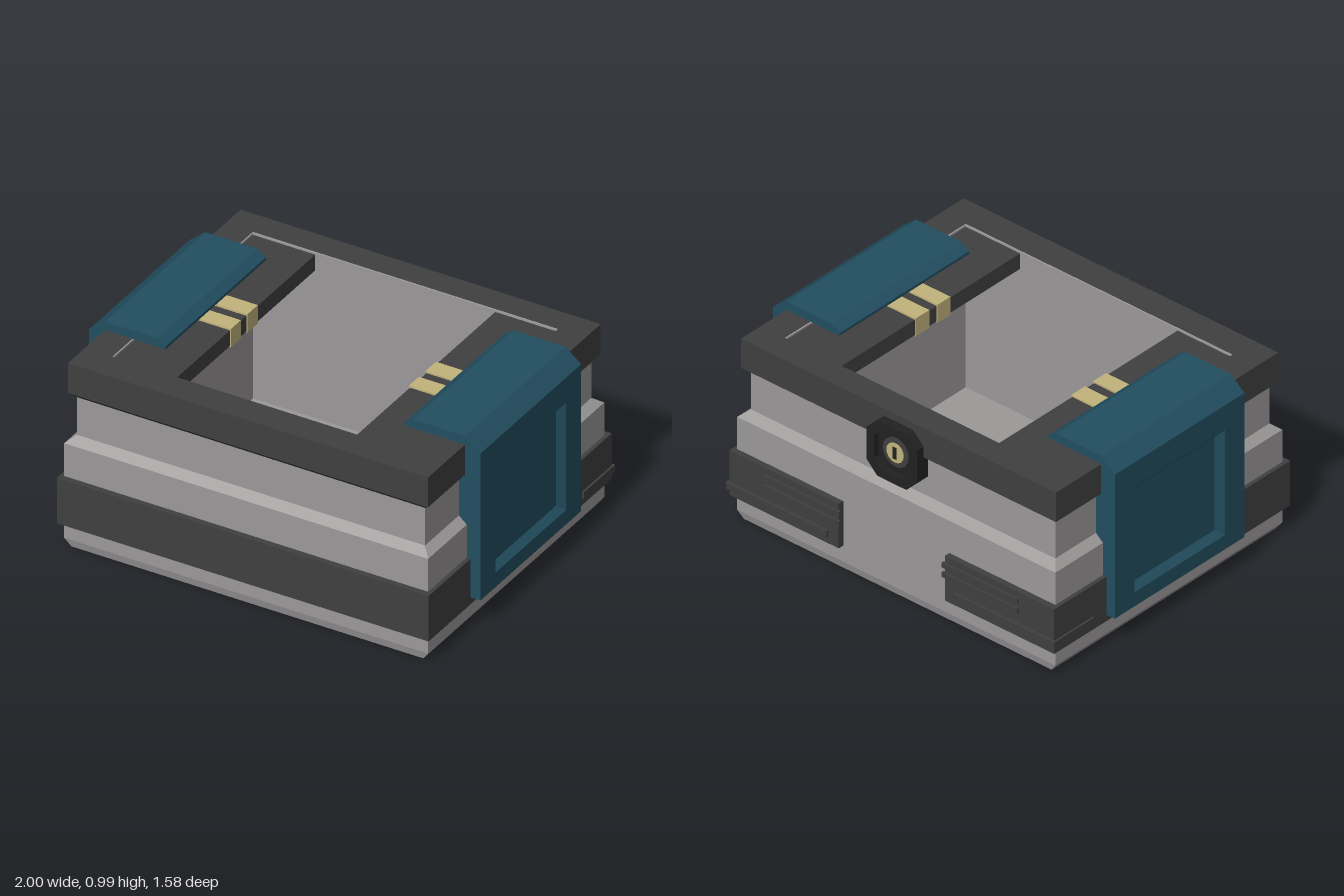
import * as THREE from 'three';

const mat = (name, color) => Object.assign(new THREE.MeshStandardMaterial({ color }), { name });

// Rings [u0, u1, v0, v1, w] are rectangles stacked along y; both ends are capped on request.
function loft(rings, capStart, capEnd) {
  const pos = [];
  const corners = ([u0, u1, v0, v1, w]) => [[u0, w, v1], [u1, w, v1], [u1, w, v0], [u0, w, v0]];
  const quad = (a, b, c, d) => pos.push(...a, ...b, ...c, ...a, ...c, ...d);
  const c = rings.map(corners);
  for (let i = 0; i < c.length - 1; i++) {
    for (let j = 0; j < 4; j++) {
      const k = (j + 1) % 4;
      quad(c[i][j], c[i][k], c[i + 1][k], c[i + 1][j]);
    }
  }
  if (capStart) quad(...c[0].slice().reverse());
  if (capEnd) quad(...c[c.length - 1]);
  const g = new THREE.BufferGeometry();
  g.setAttribute('position', new THREE.Float32BufferAttribute(pos, 3));
  g.computeVertexNormals();
  return g;
}

const shapeOf = (pts) => new THREE.Shape(pts.map(([x, y]) => new THREE.Vector2(x, y)));
const extrude = (shape, depth) => new THREE.ExtrudeGeometry(shape, { depth, bevelEnabled: false });

export function createModel() {
  const model = new THREE.Group();
  model.name = 'storageCrate';
  const grey = mat('bodyGrey', 0x9c9999);
  const dark = mat('trimDark', 0x404040);
  const blue = mat('strapBlue', 0x224e60);
  const tan = mat('clipTan', 0xc3b47d);
  const black = mat('lockBlack', 0x222222);

  const add = (name, geometry, material, parent = model) => {
    const m = new THREE.Mesh(geometry, material);
    m.name = name;
    parent.add(m);
    return m;
  };
  const box = (name, x0, x1, y0, y1, z0, z1, material) => {
    const m = add(name, new THREE.BoxGeometry(Math.abs(x1 - x0), y1 - y0, z1 - z0), material);
    m.position.set((x0 + x1) / 2, (y0 + y1) / 2, (z0 + z1) / 2);
    return m;
  };

  // Stepped body with an open cavity
  add('body', loft([
    [-0.90, 0.90, -0.735, 0.75, 0],
    [-0.93, 0.93, -0.745, 0.76, 0.04],
    [-0.93, 0.93, -0.745, 0.76, 0.53],
    [-0.89, 0.89, -0.70, 0.72, 0.565],
    [-0.89, 0.89, -0.70, 0.72, 0.935],
    [-0.778, 0.778, -0.598, 0.598, 0.935],
    [-0.778, 0.778, -0.598, 0.598, 0.08],
  ], true, true), grey);

  // Dark rim around the opening
  add('rim', loft([
    [-0.88, 0.88, -0.69, 0.71, 0.76],
    [-0.89, 0.89, -0.70, 0.72, 0.76],
    [-0.92, 0.92, -0.73, 0.745, 0.785],
    [-0.92, 0.92, -0.73, 0.745, 0.94],
    [-0.78, 0.78, -0.60, 0.60, 0.94],
  ], false, false), dark);

  // Lower band, open in the middle of the back
  const band = extrude(shapeOf([
    [-0.95, -0.79], [0.95, -0.79], [0.95, 0.775], [0.31, 0.775], [0.31, 0.72], [0.9, 0.72],
    [0.9, -0.74], [-0.9, -0.74], [-0.9, 0.72], [-0.31, 0.72], [-0.31, 0.775], [-0.95, 0.775],
  ]), 0.235);
  band.rotateX(-Math.PI / 2).translate(0, 0.125, 0);
  add('lowerBand', band, dark);

  // Strap profile (x, y) hugging the body
  const strapProfile = shapeOf([
    [0.94, 0.16], [0.965, 0.16], [0.965, 0.92], [1, 0.92], [0.92, 0.985], [0.655, 0.985],
    [0.61, 0.955], [0.61, 0.941], [0.91, 0.941], [0.88, 0.76], [0.88, 0.56], [0.92, 0.525],
    [0.92, 0.36], [0.94, 0.35],
  ]);

  for (const s of [1, -1]) {
    const side = s > 0 ? 'left' : 'right';

    // Side strap with a recessed panel
    const strap = new THREE.Group();
    strap.name = side + 'Strap';
    add('strapBracket', extrude(strapProfile, 0.86).translate(0, 0, -0.43), blue, strap);
    const panel = loft([
      [-0.92, -0.16, -0.43, 0.43, 0.93],
      [-0.92, -0.16, -0.43, 0.43, 1],
      [-0.79, -0.235, -0.30, 0.30, 1],
      [-0.755, -0.265, -0.267, 0.267, 0.968],
    ], true, true);
    add('strapPanel', panel.rotateZ(-Math.PI / 2).translate(0, 0, 0), blue, strap);
    // Turn the panel's stacking axis from y to x, then spin the pair for the other side
    strap.rotation.y = s > 0 ? 0 : Math.PI;
    model.add(strap);

    // Ledge inside the opening and its two clips
    box(side + 'Ledge', s * 0.46, s * 0.778, 0.845, 0.926, -0.598, 0.598, dark);
    box(side + 'BackClip', s * 0.455, s * 0.64, 0.84, 0.935, -0.10, -0.01, tan);
    box(side + 'FrontClip', s * 0.455, s * 0.64, 0.84, 0.935, 0.045, 0.13, tan);

    // Raised ribs on the rear corners
    for (const y of [0.30, 0.25]) box(side + 'ShortRib', s * 0.30, s * 0.74, y, y + 0.025, -0.785, -0.77, dark);
    box(side + 'LongRib', s * 0.37, s * 0.96, 0.16, 0.195, -0.787, -0.77, dark);
    box(side + 'CornerRib', s * 0.94, s * 0.96, 0.16, 0.195, -0.78, -0.52, dark);
  }

  // Octagonal lock on the back
  const lock = new THREE.Group();
  lock.name = 'lock';
  lock.position.set(0, 0.755, 0);
  lock.rotation.y = Math.PI;
  const octagon = (r, c) => [[r, c], [c, r], [-c, r], [-r, c], [-r, -c], [-c, -r], [c, -r], [r, -c]];
  const ring = shapeOf(octagon(0.147, 0.085));
  ring.holes.push(shapeOf(octagon(0.105, 0.06)));
  add('lockBase', extrude(shapeOf(octagon(0.147, 0.085)), 0.055).translate(0, 0, 0.69), black, lock);
  add('lockRim', extrude(ring, 0.03).translate(0, 0, 0.745), black, lock);
  const disc = (name, r, z, material) =>
    add(name, new THREE.CylinderGeometry(r, r, 0.01, 16).rotateX(Math.PI / 2).translate(0, 0, z), material, lock);
  disc('lockCollar', 0.075, 0.745, dark);
  disc('lockFace', 0.05, 0.75, tan);
  const slot = add('keyhole', new THREE.BoxGeometry(0.022, 0.06, 0.008), black, lock);
  slot.position.set(0, 0, 0.754);
  model.add(lock);

  return model;
}
